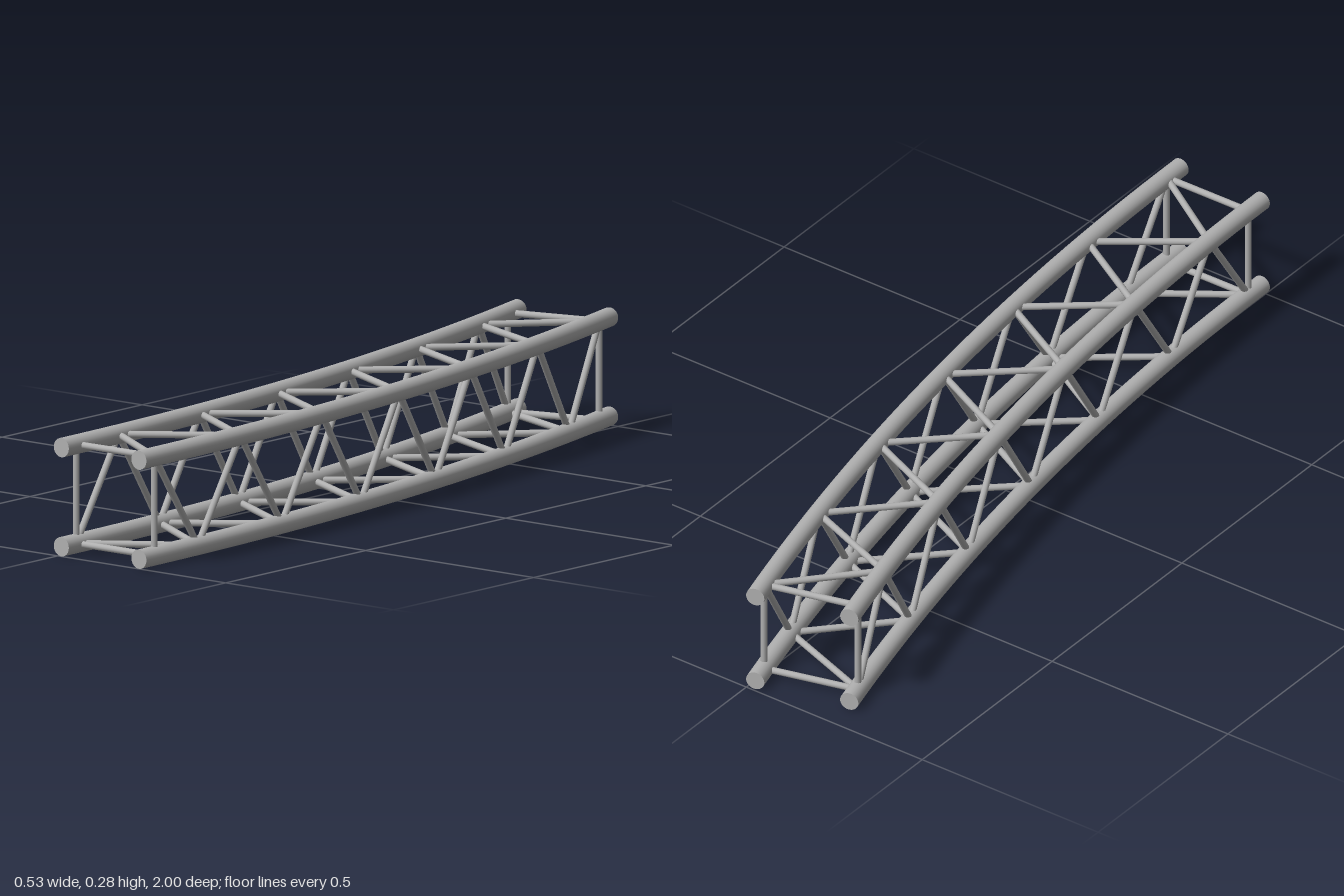
import * as THREE from 'three';

const ARC = Math.PI / 12;          // the truss bends through 15 degrees
const CENTRE_X = -7.4635, START_Z = 1;
const OUTER = 7.705, INNER = 7.474; // bend radius of each chord pair
const LOW = 0.0235, HIGH = 0.2545;
const TUBE_R = 0.0225, ROD_R = 0.008;
const BAYS = 12, FIRST = 0.00714, LAST = ARC - 0.00714;

export function createModel() {
  const model = new THREE.Group();
  model.name = 'curvedTruss';
  const metal = new THREE.MeshStandardMaterial({ color: 0xb0b0b0 });
  metal.name = 'aluminiumGrey';

  const add = (geometry, name, parent) => {
    const mesh = new THREE.Mesh(geometry, metal);
    mesh.name = name;
    parent.add(mesh);
    return mesh;
  };

  // Curved main tube with flat end caps
  const chord = (radius, y, name) => {
    const group = new THREE.Group();
    group.name = name;
    group.position.set(CENTRE_X, y, START_Z);
    add(new THREE.TorusGeometry(radius, TUBE_R, 24, 32, ARC).rotateX(-Math.PI / 2), 'tube', group);
    add(new THREE.CircleGeometry(TUBE_R, 24).translate(radius, 0, 0), 'frontCap', group);
    add(new THREE.CircleGeometry(TUBE_R, 24).rotateY(Math.PI).translate(radius, 0, 0).rotateY(ARC), 'backCap', group);
    model.add(group);
  };
  chord(OUTER, LOW, 'outerLowerChord');
  chord(OUTER, HIGH, 'outerUpperChord');
  chord(INNER, LOW, 'innerLowerChord');
  chord(INNER, HIGH, 'innerUpperChord');

  // Node position on a chord, counted along the bend
  const node = (i, radius, y) => {
    const a = FIRST + (LAST - FIRST) * i / BAYS;
    return new THREE.Vector3(CENTRE_X + radius * Math.cos(a), y, START_Z - radius * Math.sin(a));
  };

  // Thin round bar between two points
  const up = new THREE.Vector3(0, 1, 0);
  const rod = (a, b, name, parent) => {
    const dir = b.clone().sub(a);
    const mesh = add(new THREE.CylinderGeometry(ROD_R, ROD_R, dir.length(), 12), name, parent);
    mesh.position.copy(a).add(b).multiplyScalar(0.5);
    mesh.quaternion.setFromUnitVectors(up, dir.normalize());
  };

  // Each face zigzags between its even-node chord and its odd-node chord
  const faces = [
    ['outerBracing', [OUTER, HIGH], [OUTER, LOW]],
    ['innerBracing', [INNER, LOW], [INNER, HIGH]],
    ['upperBracing', [OUTER, HIGH], [INNER, HIGH]],
    ['lowerBracing', [INNER, LOW], [OUTER, LOW]],
  ];
  for (const [name, even, odd] of faces) {
    const group = new THREE.Group();
    group.name = name;
    model.add(group);
    const at = (i) => node(i, ...(i % 2 ? odd : even));
    for (let i = 0; i < BAYS; i++) rod(at(i), at(i + 1), 'diagonal', group);
    // Straight bars close the face at both ends
    for (const i of [0, BAYS]) rod(node(i, ...even), node(i, ...odd), 'endBar', group);
  }
  return model;
}
